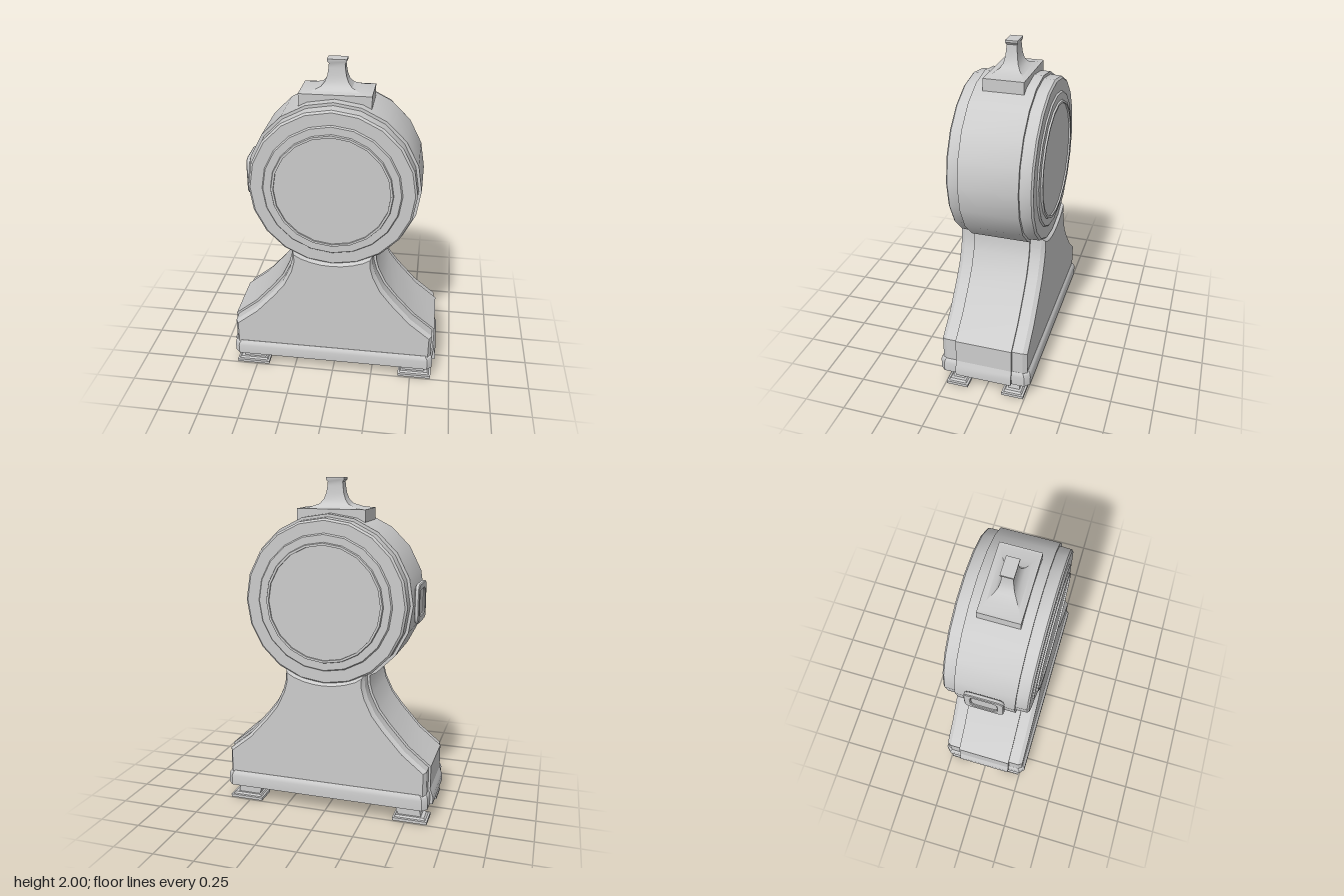
import * as THREE from 'three';
import { toCreasedNormals } from 'three/addons/utils/BufferGeometryUtils.js';

const grey = new THREE.MeshStandardMaterial({ color: 0xcccccc });

function part(parent, name, geometry, crease = 0.5) {
  const mesh = new THREE.Mesh(toCreasedNormals(geometry, crease), grey);
  mesh.name = name;
  parent.add(mesh);
  return mesh;
}

// Closed loft through horizontal rectangles with cut corners.
// Each level: [y, half width, half depth, centre x, corner cut]
function rectLoft(levels) {
  const pos = [], idx = [], n = 8;
  for (const [y, hx, hz, cx = 0, c = 0] of levels) {
    const ring = [
      [hx, hz - c], [hx, c - hz], [hx - c, -hz], [c - hx, -hz],
      [-hx, c - hz], [-hx, hz - c], [c - hx, hz], [hx - c, hz],
    ];
    for (const [x, z] of ring) pos.push(x + cx, y, z);
  }
  const top = (levels.length - 1) * n;
  for (let k = 0; k < top; k += n) {
    for (let i = 0; i < n; i++) {
      const j = (i + 1) % n;
      idx.push(k + i, k + j, k + n + j, k + i, k + n + j, k + n + i);
    }
  }
  for (let i = 1; i < n - 1; i++) {
    idx.push(0, i + 1, i, top, top + i, top + i + 1);
  }
  const g = new THREE.BufferGeometry();
  g.setAttribute('position', new THREE.Float32BufferAttribute(pos, 3));
  g.setIndex(idx);
  return g;
}

// Waisted outline whose top follows the underside of the drum
function bodyShape(inset, drumRadius) {
  const side = [
    [0.635, 0.14], [0.635, 0.345], [0.5, 0.455], [0.385, 0.585],
    [0.32, 0.67], [0.275, 0.765], [0.258, 0.83],
  ].map(([x, y], i) => [x - inset, i === 0 ? y : y - inset * 0.5]);
  const arc = [];
  const topX = 0.254 - inset;
  for (let i = 0; i <= 8; i++) {
    const x = topX * (1 - i / 4);
    arc.push([x, 1.3 - Math.sqrt(drumRadius ** 2 - x * x)]);
  }
  const mirrored = side.map(([x, y]) => [-x, y]).reverse();
  return new THREE.Shape([...side, ...arc, ...mirrored].map(([x, y]) => new THREE.Vector2(x, y)));
}

function roundedRect(Type, w, h, r) {
  const s = new Type();
  const x = w / 2, y = h / 2;
  s.moveTo(r - x, -y);
  s.lineTo(x - r, -y);
  s.quadraticCurveTo(x, -y, x, r - y);
  s.lineTo(x, y - r);
  s.quadraticCurveTo(x, y, x - r, y);
  s.lineTo(r - x, y);
  s.quadraticCurveTo(-x, y, -x, y - r);
  s.lineTo(-x, r - y);
  s.quadraticCurveTo(-x, -y, r - x, -y);
  return s;
}

export function createModel() {
  const model = new THREE.Group();
  model.name = 'mantelClock';

  // Drum case with raised centre band and stepped faces, same front and back
  const half = [
    [0, 0.256], [0.335, 0.256], [0.335, 0.266], [0.348, 0.266], [0.352, 0.256],
    [0.395, 0.256], [0.402, 0.247], [0.472, 0.247], [0.484, 0.237],
    [0.486, 0.172], [0.503, 0.172],
  ];
  const profile = [
    ...half.map(([r, z]) => new THREE.Vector2(r, -z)),
    ...half.map(([r, z]) => new THREE.Vector2(r, z)).reverse(),
  ];
  const drum = part(model, 'drumCase', new THREE.LatheGeometry(profile, 20).rotateX(Math.PI / 2));
  drum.position.y = 1.3;

  // Waisted body: bevelled full-depth block plus a slightly wider centre band
  const block = new THREE.ExtrudeGeometry(bodyShape(0.013, 0.472), {
    depth: 0.474, bevelThickness: 0.025, bevelSize: 0.017, bevelOffset: -0.017, bevelSegments: 1,
  });
  part(model, 'body', block.translate(0, 0, -0.237));
  const band = new THREE.ExtrudeGeometry(bodyShape(0, 0.465), { depth: 0.344, bevelEnabled: false });
  part(model, 'bodyBand', band.translate(0, 0, -0.172));

  // Plinth with cut corners and its wider centre band
  part(model, 'plinth', rectLoft([
    [0.105, 0.635, 0.28, 0, 0.03], [0.165, 0.635, 0.28, 0, 0.03],
    [0.183, 0.63, 0.275, 0, 0.03], [0.197, 0.618, 0.263, 0, 0.03],
  ]));
  part(model, 'plinthBand', rectLoft([
    [0.105, 0.653, 0.172], [0.15, 0.653, 0.172], [0.172, 0.645, 0.172], [0.2, 0.635, 0.172],
  ]));

  // Splayed feet
  for (const sx of [-1, 1]) {
    for (const sz of [-1, 1]) {
      const foot = new THREE.Group();
      foot.name = 'foot';
      foot.position.z = sz * 0.175;
      part(foot, 'footPad', rectLoft([
        [0, 0.105, 0.068, sx * 0.527], [0.018, 0.105, 0.068, sx * 0.527],
        [0.02, 0.094, 0.056, sx * 0.527], [0.031, 0.086, 0.048, sx * 0.525],
      ]));
      part(foot, 'footStem', rectLoft([
        [0.025, 0.07, 0.035, sx * 0.522], [0.11, 0.076, 0.035, sx * 0.497],
      ]));
      model.add(foot);
    }
  }

  // Saddle block on top with a flared handle
  part(model, 'topBlock', rectLoft([[1.755, 0.205, 0.117], [1.825, 0.205, 0.117]]));
  part(model, 'topHandle', rectLoft([
    [1.824, 0.2, 0.114], [1.833, 0.135, 0.085], [1.85, 0.088, 0.057], [1.875, 0.066, 0.042],
    [1.91, 0.053, 0.035], [1.95, 0.047, 0.031], [1.975, 0.045, 0.03],
    [1.988, 0.055, 0.036], [2, 0.055, 0.036],
  ]));

  // Side plate with rounded frame and recessed panel
  const plate = new THREE.Group();
  plate.name = 'sidePlate';
  plate.position.set(-0.503, 1.297, 0);
  plate.rotation.y = -Math.PI / 2;
  const rim = roundedRect(THREE.Shape, 0.23, 0.23, 0.045);
  rim.holes.push(roundedRect(THREE.Path, 0.15, 0.15, 0.035));
  part(plate, 'plateFrame', new THREE.ExtrudeGeometry(rim, {
    depth: 0.016, curveSegments: 4, bevelThickness: 0.005, bevelSize: 0.005, bevelOffset: -0.005, bevelSegments: 1,
  }));
  part(plate, 'platePanel', new THREE.BoxGeometry(0.17, 0.17, 0.01).translate(0, 0, 0.005));
  model.add(plate);

  return model;
}
